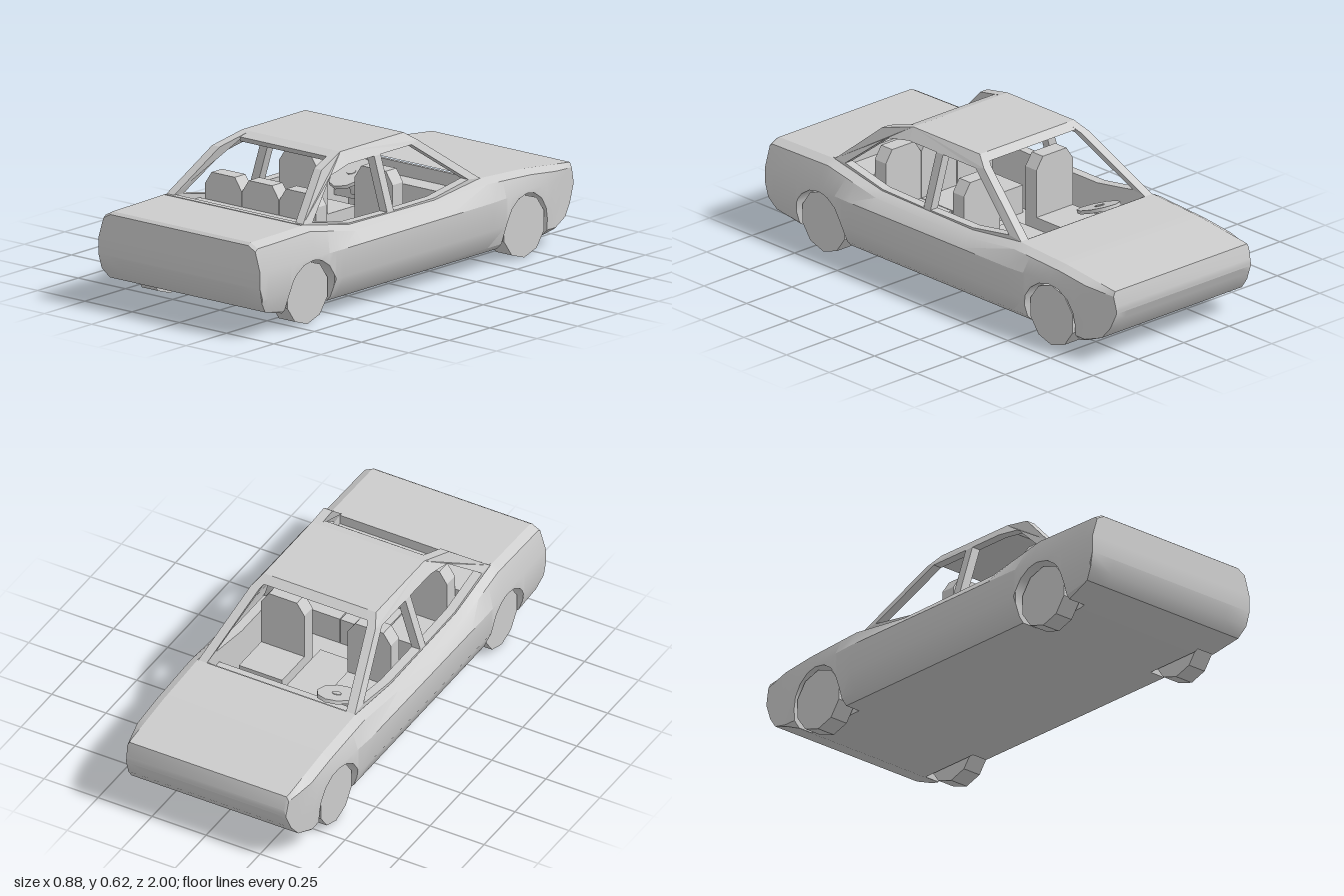
import * as THREE from 'three';
import { toCreasedNormals } from 'three/addons/utils/BufferGeometryUtils.js';

const grey = new THREE.MeshStandardMaterial({ color: 0xcccccc });

const WHEEL_Z = [-0.655, 0.682];
const WHEEL_R = 0.13, ARCH_R = 0.14;
const CABIN = [-0.43, 0.66];

// Lengthwise curves of the body: [z, value]
const TOP = [[-1, 0.26], [-0.985, 0.322], [-0.7, 0.355], [-0.43, 0.37], [-0.15, 0.337], [0.38, 0.345], [0.66, 0.4], [0.985, 0.395], [1, 0.385]];
const FLOOR = [[-1, 0.23], [-0.97, 0.16], [-0.93, 0.11], [-0.8, 0.06], [0.8, 0.065], [0.95, 0.105], [0.985, 0.15], [1, 0.21]];
const HALF_WIDTH = [[-1, 0.37], [-0.85, 0.405], [-0.43, 0.438], [0.5, 0.44], [1, 0.428]];
// Lean of the side windows: [y, x]
const LEAN = [[0.4, 0.362], [0.575, 0.29], [0.615, 0.26]];

function sample(table, t) {
  if (t <= table[0][0]) return table[0][1];
  for (let i = 1; i < table.length; i++) {
    const [a, va] = table[i - 1], [b, vb] = table[i];
    if (t <= b) return va + (vb - va) * (t - a) / (b - a);
  }
  return table[table.length - 1][1];
}

function mesh(name, geometry, parent) {
  const m = new THREE.Mesh(geometry, grey);
  m.name = name;
  parent.add(m);
  return m;
}

// Box given by its limits on each axis
function box(name, [x0, x1], [y0, y1], [z0, z1], parent) {
  const m = mesh(name, new THREE.BoxGeometry(x1 - x0, y1 - y0, z1 - z0), parent);
  m.position.set((x0 + x1) / 2, (y0 + y1) / 2, (z0 + z1) / 2);
  return m;
}

const points = (list) => list.map(([a, b]) => new THREE.Vector2(a, b));

// Half cross-section at z, cut off below the floor line or wheel arch
function halfSection(z) {
  const top = sample(TOP, z), floor = sample(FLOOR, z), w = sample(HALF_WIDTH, z);
  let cut = floor;
  for (const c of WHEEL_Z) {
    const d = Math.abs(z - c);
    if (d < ARCH_R) cut = Math.max(cut, WHEEL_R + Math.sqrt(ARCH_R ** 2 - d ** 2));
  }
  const side = [
    [Math.min(0.365, w - 0.01), top], [Math.min(0.402, w), top - 0.02],
    [w, Math.min(0.28, top - 0.03)], [w, 0.165], [Math.min(0.405, w), 0.085], [0.36, 0.04],
  ];
  const out = [];
  side.forEach(([x, y], j) => {
    if (y >= cut) return out.push([x, y]);
    const [px, py] = out[j - 1];
    const t = Math.min(1, (py - cut) / Math.max(py - y, 1e-6));
    out.push([px + (x - px) * t, cut]);
  });
  // wheel well roof and inner wall
  out.push([0.31, cut], [0.31, floor]);
  return out;
}

// Lofted shell with open cabin and wheel wells
function bodyGeometry() {
  const stations = new Set([...TOP, ...FLOOR, ...HALF_WIDTH].map(([z]) => z));
  for (const c of WHEEL_Z) {
    for (let k = 1; k < 8; k++) stations.add(c + ARCH_R * Math.cos(k * Math.PI / 8));
    for (const r of [0.1399, 0.1405]) stations.add(c - r).add(c + r);
  }
  const zs = [...stations].sort((a, b) => a - b);
  const pos = [], index = [];
  const quad = (a, b, c, d) => index.push(a, b, c, a, c, d);
  let n = 0;
  for (const z of zs) {
    const half = halfSection(z);
    n = half.length * 2;
    for (const [x, y] of half) pos.push(x, y, z);
    for (const [x, y] of half.reverse()) pos.push(-x, y, z);
  }
  for (let i = 0; i < zs.length - 1; i++) {
    const open = zs[i] >= CABIN[0] && zs[i + 1] <= CABIN[1];
    for (let j = 0; j < (open ? n - 1 : n); j++) {
      const a = i * n + j, b = i * n + (j + 1) % n;
      quad(a, a + n, b + n, b);
    }
  }
  // end faces
  const last = (zs.length - 1) * n;
  for (let j = 0; j < n / 2 - 1; j++) {
    quad(last + j, last + n - 1 - j, last + n - 2 - j, last + j + 1);
    quad(j, j + 1, n - 2 - j, n - 1 - j);
  }
  const g = new THREE.BufferGeometry();
  g.setAttribute('position', new THREE.Float32BufferAttribute(pos, 3));
  g.setIndex(index);
  return toCreasedNormals(g, 0.42);
}

// Leaning side frame: pillars, roof rail and inner door panel, drawn in (z, y)
function sideFrameGeometry() {
  const shape = new THREE.Shape(points([
    [-0.43, 0.09], [0.53, 0.09], [0.53, 0.285], [0.66, 0.285], [0.66, 0.4], [0.46, 0.575], [0.31, 0.615],
    [-0.08, 0.615], [-0.135, 0.577], [-0.43, 0.37],
  ]));
  shape.holes.push(
    new THREE.Path(points([[0.1, 0.345], [0.1, 0.567], [-0.09, 0.567], [-0.36, 0.378], [-0.15, 0.345]])),
    new THREE.Path(points([[0.14, 0.345], [0.38, 0.35], [0.6, 0.398], [0.42, 0.545], [0.3, 0.567], [0.14, 0.567]])),
  );
  const g = new THREE.ExtrudeGeometry(shape, { depth: 0.04, bevelEnabled: false });
  const p = g.attributes.position;
  for (let i = 0; i < p.count; i++) {
    const y = p.getY(i);
    p.setXYZ(i, sample(LEAN, y) - p.getZ(i), y, p.getX(i));
  }
  g.computeVertexNormals();
  return g;
}

// Seat with a chamfered back
function seat(name, x, z, w, parent) {
  const g = new THREE.Group();
  g.name = name;
  const h = w / 2, c = h - 0.035;
  const shape = new THREE.Shape(points([[-h, 0.1], [h, 0.1], [h, 0.425], [c, 0.477], [-c, 0.477], [-h, 0.425]]));
  mesh('seatBack', new THREE.ExtrudeGeometry(shape, { depth: 0.065, bevelEnabled: false }), g);
  box('seatCushion', [-h, h], [0.1, 0.22], [-0.18, 0], g);
  g.position.set(x, 0, z);
  parent.add(g);
}

export function createModel() {
  const car = new THREE.Group();
  car.name = 'car';
  mesh('body', bodyGeometry(), car);

  // Greenhouse
  const frame = sideFrameGeometry();
  mesh('leftSideFrame', frame, car);
  mesh('rightSideFrame', frame, car).scale.x = -1;
  const roofShape = new THREE.Shape(points([
    [-0.115, 0.59], [-0.06, 0.585], [0.3, 0.585], [0.34, 0.575], [0.36, 0.6], [0.31, 0.615], [-0.08, 0.615],
  ]));
  const roof = new THREE.ExtrudeGeometry(roofShape, { depth: 0.48, bevelEnabled: false });
  roof.rotateY(-Math.PI / 2).translate(0.24, 0, 0);
  mesh('roof', roof, car);

  // Cabin interior
  const cabin = new THREE.Group();
  cabin.name = 'interior';
  car.add(cabin);
  box('cabinFloor', [-0.34, 0.34], [0.085, 0.1], [-0.43, 0.53], cabin);
  box('frontBulkhead', [-0.35, 0.35], [0.09, 0.365], [-0.435, -0.42], cabin);
  box('dashboard', [-0.33, 0.33], [0.2, 0.31], [-0.42, -0.33], cabin);
  box('console', [-0.1, 0.1], [0.1, 0.17], [-0.2, 0.1], cabin);
  box('rearBulkhead', [-0.31, 0.31], [0.09, 0.36], [0.5, 0.53], cabin);
  box('rearShelf', [-0.34, 0.34], [0.34, 0.36], [0.5, 0.67], cabin);
  box('rearWindowSill', [-0.36, 0.36], [0.34, 0.402], [0.645, 0.67], cabin);
  for (const x of [-0.2, 0.2]) seat('frontSeat', x, -0.03, 0.2, cabin);
  for (const x of [-0.197, 0, 0.197]) seat('rearSeat', x, 0.435, 0.193, cabin);
  const steering = mesh('steeringWheel', new THREE.CylinderGeometry(0.078, 0.078, 0.015, 10), cabin);
  steering.scale.z = 1.35;
  steering.position.set(-0.2, 0.315, -0.29);
  steering.rotation.x = 0.35;
  const hub = mesh('steeringHub', new THREE.CylinderGeometry(0.02, 0.025, 0.1, 8), cabin);
  hub.position.set(-0.2, 0.28, -0.31);
  hub.rotation.x = 0.35;

  // Wheels
  const tyre = new THREE.CylinderGeometry(WHEEL_R, WHEEL_R, 0.085, 10, 1, false, Math.PI / 2);
  const wheelGeometry = toCreasedNormals(tyre.rotateZ(Math.PI / 2), 0.1);
  for (const z of WHEEL_Z) {
    for (const side of [-1, 1]) {
      const name = (z < 0 ? 'noseEnd' : 'tailEnd') + (side > 0 ? 'LeftWheel' : 'RightWheel');
      mesh(name, wheelGeometry, car).position.set(side * 0.3625, WHEEL_R, z);
    }
  }
  return car;
}
